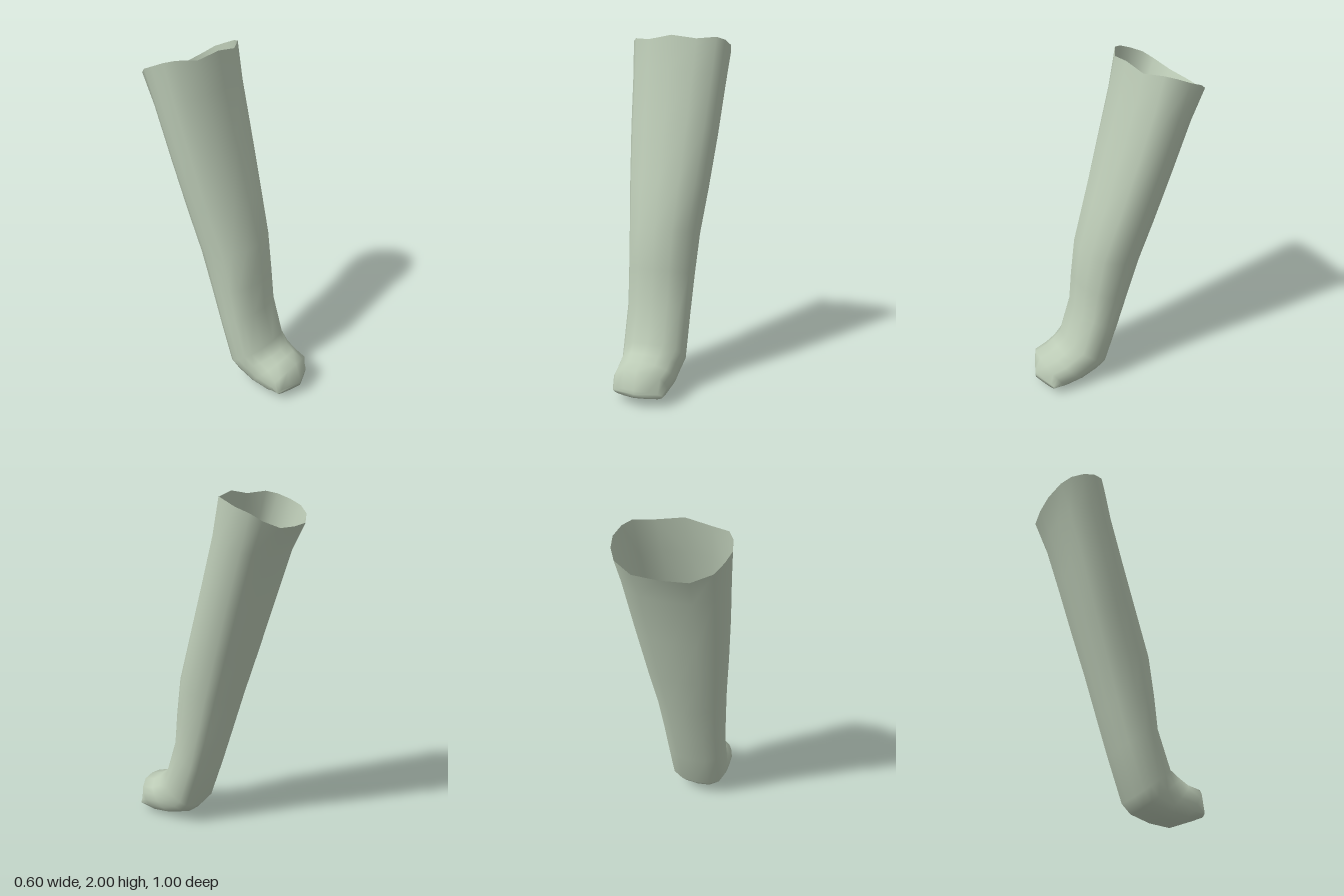
import * as THREE from 'three';

// Half outline of every cross-section, from front (x = 0) round to back
const SIDE = [0, 0.48, 0.82, 0.94, 1, 0.94, 0.82, 0.48, 0];
const DEPTH = [1, 0.92, 0.61, 0.32, -0.06, -0.44, -0.72, -0.95, -1];
const RIM_LIFT = [0, -0.015, 0.02, 0.03, 0.033, 0.035, 0.02, 0, 0];
const SIDES = 16;

// Sections from the open top to the toe:
// front z, front y, back z, back y, half width, side set-back, side drop
const SECTIONS = [
  [-0.12, 2.0, -0.5, 1.835, 0.3, 0, 0],
  [-0.08, 1.8, -0.43, 1.69, 0.285, 0, 0],
  [0.0, 1.51, -0.34, 1.4, 0.265, 0, 0],
  [0.09, 1.2, -0.25, 1.1, 0.237, 0, 0],
  [0.17, 0.93, -0.17, 0.84, 0.208, 0, 0],
  [0.2, 0.7, -0.098, 0.6, 0.195, 0, 0],
  [0.217, 0.51, -0.027, 0.37, 0.187, 0, 0],
  [0.286, 0.29, 0.058, 0.115, 0.186, 0, 0],
  [0.345, 0.25, 0.106, 0.06, 0.17, 0, 0],
  [0.39, 0.22, 0.217, 0.02, 0.168, 0, 0],
  [0.462, 0.2, 0.335, 0.002, 0.158, 0, 0],
  [0.5, 0.1, 0.5, 0.06, 0.148, 0.06, 0.02],
];

function createLegGeometry() {
  const positions = [];
  const indices = [];
  SECTIONS.forEach(([fz, fy, bz, by, width, setBack, drop], ring) => {
    for (let j = 0; j < SIDES; j++) {
      const k = j <= 8 ? j : SIDES - j;
      const sign = j <= 8 ? 1 : -1;
      const d = DEPTH[k];
      const y = (fy + by) / 2 + d * (fy - by) / 2 - drop * SIDE[k];
      const z = (fz + bz) / 2 + d * (fz - bz) / 2 - setBack * SIDE[k];
      positions.push(sign * width * SIDE[k], y + (ring === 0 ? RIM_LIFT[k] : 0), z);
    }
  });
  const at = (ring, j) => ring * SIDES + (j % SIDES);
  const last = SECTIONS.length - 1;
  for (let i = 0; i < last; i++) {
    for (let j = 0; j < SIDES; j++) {
      indices.push(at(i, j), at(i + 1, j), at(i, j + 1));
      indices.push(at(i, j + 1), at(i + 1, j), at(i + 1, j + 1));
    }
  }
  // Close the toe
  const tip = positions.length / 3;
  positions.push(0, 0.08, 0.5);
  for (let j = 0; j < SIDES; j++) indices.push(at(last, j), tip, at(last, j + 1));

  const geometry = new THREE.BufferGeometry();
  geometry.setAttribute('position', new THREE.Float32BufferAttribute(positions, 3));
  geometry.setIndex(indices);
  geometry.computeVertexNormals();
  return geometry;
}

export function createModel() {
  const group = new THREE.Group();
  group.name = 'legWithFoot';
  const material = new THREE.MeshStandardMaterial({ color: 0xbccbb6, side: THREE.DoubleSide });
  const leg = new THREE.Mesh(createLegGeometry(), material);
  leg.name = 'leg';
  group.add(leg);
  return group;
}
